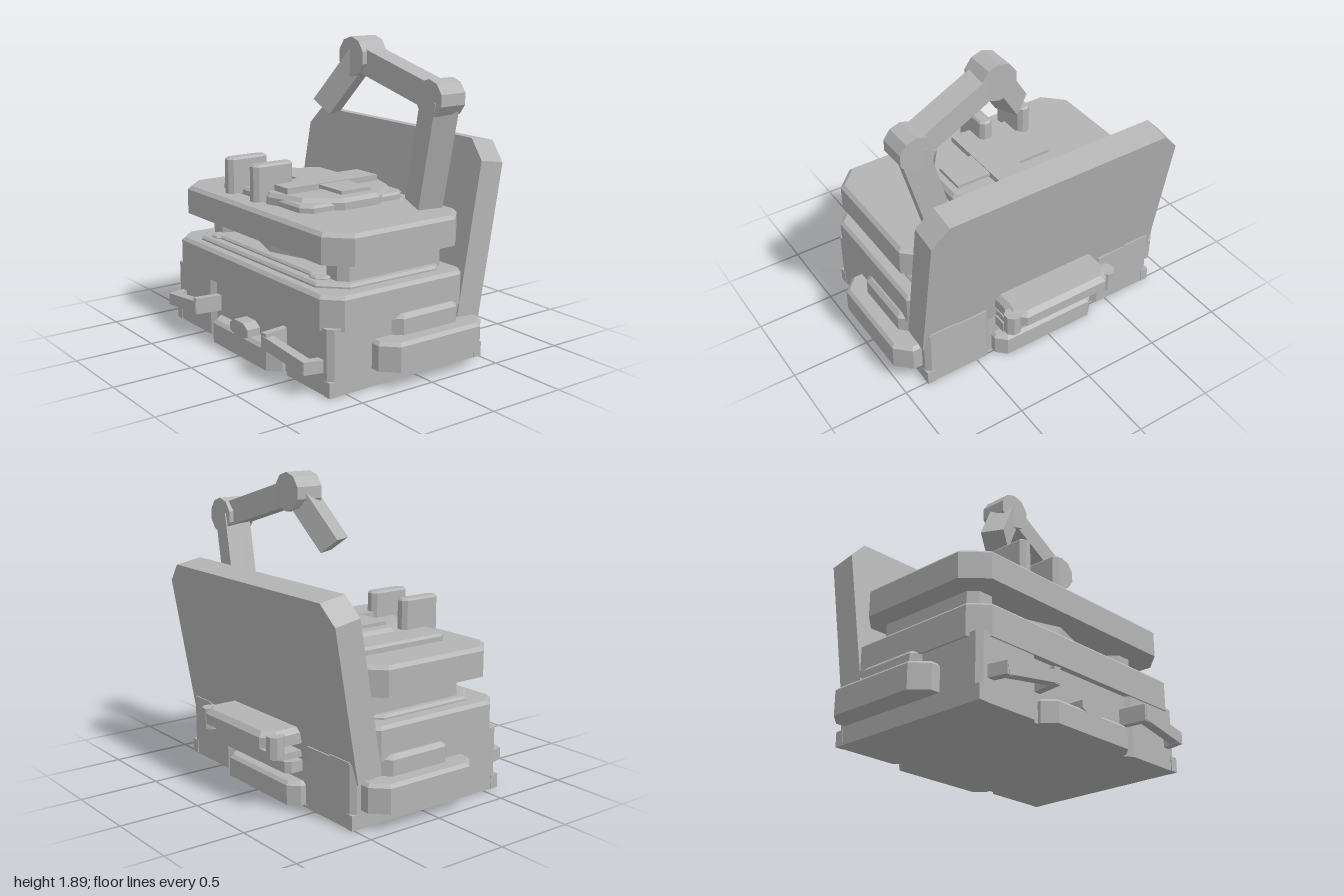
import * as THREE from 'three';
import { ConvexGeometry } from 'three/addons/geometries/ConvexGeometry.js';

const grey = new THREE.MeshStandardMaterial({ color: 0xb4b4b4, flatShading: true });
grey.name = 'plain grey';

export function createModel() {
  const model = new THREE.Group();
  model.name = 'machine';

  const add = (name, geometry) => {
    const mesh = new THREE.Mesh(geometry, grey);
    mesh.name = name;
    model.add(mesh);
    return mesh;
  };

  // Block with cut vertical corners and an optional bevel round the top
  const slab = (name, [x0, x1], [y0, y1], [z0, z1], cut = 0, bevel = 0) => {
    const pts = [];
    const loop = (y, i) => {
      const c = Math.max(cut - i * 0.4, 0);
      const l = x0 + i, r = x1 - i, b = z0 + i, f = z1 - i;
      const ring = c > 0
        ? [[l + c, b], [r - c, b], [r, b + c], [r, f - c], [r - c, f], [l + c, f], [l, f - c], [l, b + c]]
        : [[l, b], [r, b], [r, f], [l, f]];
      ring.forEach(([x, z]) => pts.push(new THREE.Vector3(x, y, z)));
    };
    loop(y0, 0);
    loop(y1 - bevel, 0);
    if (bevel > 0) loop(y1, bevel);
    return add(name, new ConvexGeometry(pts));
  };

  // Square bar joining two points
  const bar = (name, a, b, w, d) => {
    const p = new THREE.Vector3(...a), q = new THREE.Vector3(...b);
    const mesh = add(name, new THREE.BoxGeometry(w, d, p.distanceTo(q)));
    mesh.position.copy(p).add(q).multiplyScalar(0.5);
    mesh.lookAt(q);
    return mesh;
  };

  // Ten-sided disc with one corner facing forwards
  const disc = (name, r0, r1, y0, y1, z) => {
    const mesh = add(name, new THREE.CylinderGeometry(r1, r0, y1 - y0, 10));
    mesh.position.set(0, (y0 + y1) / 2, z);
    return mesh;
  };

  // Base with a shallow recess in the middle of the front
  slab('baseCore', [-0.82, 0.82], [0, 0.39], [-0.48, 0.58]);
  for (const s of [-1, 1]) {
    const span = (a, b) => (s > 0 ? [a, b] : [-b, -a]);
    slab('baseFrontCheek', span(0.4, 0.85), [0, 0.39], [0.3, 0.61], 0.03);
    slab('baseSide', span(0.6, 0.85), [0, 0.39], [-0.51, 0.61], 0.04);
    slab('baseBackCheek', span(0.4, 0.85), [0, 0.38], [-0.51, -0.3], 0.03);
    for (const z of [[0.56, 0.615], [-0.515, -0.46]]) slab('cornerFoot', span(0.8, 0.853), [0, 0.09], z);

    // Stepped side wings
    slab('sideWing', span(0.7, 1), [0.11, 0.28], [-0.45, 0.32], 0.09, 0.02);
    slab('upperSideWing', span(0.7, 0.9), [0.26, 0.4], [-0.31, 0.18], 0.05, 0.025);

    // Front grab handles
    bar('handleGrip', [s * 0.75, 0.17, 0.695], [s * 0.38, 0.22, 0.72], 0.06, 0.075);
    bar('handleOuterArm', [s * 0.77, 0.17, 0.59], [s * 0.74, 0.17, 0.72], 0.05, 0.075);
    bar('handleInnerArm', [s * 0.37, 0.225, 0.57], [s * 0.395, 0.225, 0.745], 0.045, 0.1);

    // Side supports and pads between the two slabs
    slab('sideSupport', span(0.52, 0.72), [0.57, 0.75], [-0.33, 0.43], 0.05);
    slab('deckPad', span(0.47, 0.61), [0.58, 0.61], [0.38, 0.51], 0.04, 0.01);
    slab('innerBracket', span(0.38, 0.5), [0.64, 0.68], [0.1, 0.36], 0.03);
  }

  // Front lower plate and knob
  slab('frontPlate', [-0.37, 0.37], [0, 0.145], [0.5, 0.67], 0.07, 0.02);
  const knobShape = new THREE.Shape([[-0.1, 0.145], [-0.04, 0.12], [0.04, 0.12], [0.1, 0.145],
    [0.1, 0.19], [0.05, 0.22], [-0.05, 0.22], [-0.1, 0.19]].map(p => new THREE.Vector2(...p)));
  add('frontKnob', new THREE.ExtrudeGeometry(knobShape, { depth: 0.1, bevelEnabled: false })).position.z = 0.57;

  // Rear stack of plates
  slab('rearLowerPlate', [-0.37, 0.37], [0, 0.14], [-0.575, -0.4], 0.06, 0.02);
  slab('rearStep', [-0.34, 0.34], [0.2, 0.27], [-0.59, -0.4], 0.03);
  slab('rearShelf', [-0.34, 0.34], [0.29, 0.33], [-0.67, -0.4], 0.04);
  slab('rearRack', [-0.36, 0.36], [0.38, 0.475], [-0.75, -0.42], 0.07, 0.03);
  for (const x of [-0.35, 0.35]) slab('rearRackEnd', [x - 0.05, x + 0.05], [0.33, 0.46], [-0.73, -0.63], 0.03);

  // Lower slab and deck
  slab('lowerSlab', [-0.865, 0.865], [0.37, 0.57], [-0.42, 0.62], 0.1, 0.02);
  slab('lowerDeck', [-0.77, 0.77], [0.56, 0.595], [-0.36, 0.55], 0.14, 0.015);
  slab('innerDeck', [-0.6, 0.6], [0.59, 0.615], [-0.33, 0.49], 0.1, 0.012);
  disc('centralColumn', 0.4, 0.4, 0.59, 0.75, 0.04);

  // Upper slab, offset plate, turntable and cross
  slab('upperSlab', [-0.865, 0.865], [0.73, 0.91], [-0.4, 0.585], 0.13, 0.022);
  slab('topPlate', [-0.605, 0.355], [0.9, 0.955], [-0.335, 0.425], 0.06, 0.015);
  disc('turntable', 0.41, 0.41, 0.91, 0.955, 0.04);
  disc('turntableBevel', 0.41, 0.39, 0.955, 0.98, 0.04);
  slab('crossLengthBar', [-0.105, 0.105], [0.975, 1.017], [-0.3, 0.38]);
  slab('crossWidthBar', [-0.335, 0.335], [0.99, 1.012], [-0.065, 0.15]);

  // Upright tabs
  for (const x of [-0.363, -0.075]) slab('uprightTab', [x - 0.044, x + 0.044], [0.92, 1.145], [0.235, 0.515], 0.025, 0.012);

  // Leaning back panel
  const panel = new THREE.Shape([[-0.86, -0.523], [0.86, -0.523], [0.86, 0.405], [0.75, 0.523],
    [-0.75, 0.523], [-0.86, 0.405]].map(p => new THREE.Vector2(...p)));
  const panelGeometry = new THREE.ExtrudeGeometry(panel, { depth: 0.172, bevelEnabled: false });
  panelGeometry.translate(0, 0, -0.086);
  const backPanel = add('backPanel', panelGeometry);
  backPanel.position.set(0, 0.793, -0.485);
  backPanel.rotation.x = -0.173;

  // Jointed arm
  const elbow = [0.745, 1.58, -0.245], wrist = [0.15, 1.775, -0.145];
  bar('armPost', [0.58, 0.93, -0.275], elbow, 0.165, 0.165);
  bar('armBoom', elbow, wrist, 0.15, 0.15);
  bar('armTip', wrist, [-0.065, 1.46, -0.035], 0.15, 0.14);
  for (const [p, r] of [[elbow, 0.113], [wrist, 0.12]]) {
    const joint = add('armJoint', new THREE.CylinderGeometry(r, r, 0.18, 10));
    joint.position.set(...p);
    joint.rotation.x = Math.PI / 2;
  }

  return model;
}
